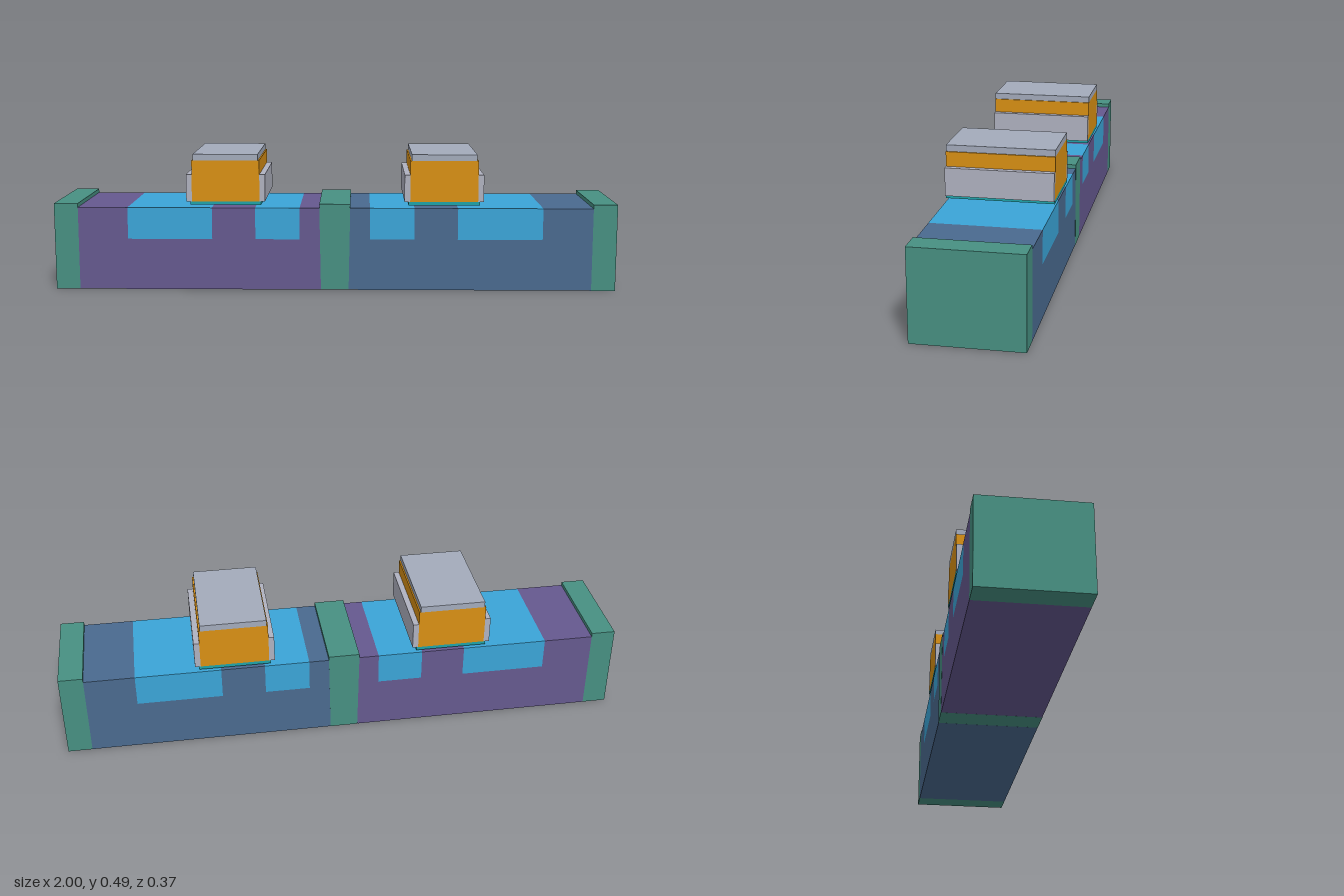
import * as THREE from 'three';

const DEPTH = 0.365;
const mat = (color) => new THREE.MeshStandardMaterial({ color });
const COLORS = {
  purple: mat(0x65598f), slate: mat(0x4a6a8f), blue: mat(0x3ba5d8), teal: mat(0x479082),
  orange: mat(0xd99014), cap: mat(0xa3abbb), spacer: mat(0xb0b2c0), oxide: mat(0x1fa3a8),
};

// Full-depth bar given by its x and y limits
function bar(parent, name, color, x0, x1, y0, y1) {
  const mesh = new THREE.Mesh(new THREE.BoxGeometry(x1 - x0, y1 - y0, DEPTH), COLORS[color]);
  mesh.position.set((x0 + x1) / 2, (y0 + y1) / 2, 0);
  mesh.name = name;
  parent.add(mesh);
  return mesh;
}

export function createModel() {
  const model = new THREE.Group();
  model.name = 'layeredBlock';

  // Each half mirrors the other, with its own body colour
  for (const [side, body, label] of [[-1, 'purple', 'right'], [1, 'slate', 'left']]) {
    const half = new THREE.Group();
    half.name = label + 'Half';
    model.add(half);
    const add = (name, color, a, b, y0, y1) =>
      bar(half, name, color, Math.min(side * a, side * b), Math.max(side * a, side * b), y0, y1);

    // Lower body and end wall
    add('lowerBody', body, 0.05, 0.915, 0, 0.183);
    add('endWall', 'teal', 0.915, 1, 0, 0.31);

    // Upper layer of alternating blocks
    const edges = [0.05, 0.125, 0.283, 0.437, 0.738, 0.915];
    for (let i = 0; i < edges.length - 1; i++) {
      const inset = i % 2 === 1;
      add(inset ? 'insetBlock' : 'bodyBlock', inset ? 'blue' : body, edges[i], edges[i + 1], 0.183, 0.296);
    }

    // Raised stack: thin film, core, cap and side strips
    const stack = new THREE.Group();
    stack.name = 'raisedStack';
    half.add(stack);
    const cx = side * 0.387;
    bar(stack, 'thinFilm', 'oxide', cx - 0.126, cx + 0.126, 0.307, 0.319);
    bar(stack, 'core', 'orange', cx - 0.12, cx + 0.12, 0.319, 0.465);
    bar(stack, 'topCap', 'cap', cx - 0.115, cx + 0.115, 0.465, 0.487);
    for (const s of [-1, 1]) {
      const inner = cx + s * 0.12, outer = cx + s * 0.14;
      bar(stack, 'sideStrip', 'spacer', Math.min(inner, outer), Math.max(inner, outer), 0.319, 0.415);
    }
  }

  // Central dividing wall, slightly narrower at the foot
  const wall = bar(model, 'centreWall', 'teal', -0.055, 0.055, 0, 0.31);
  const p = wall.geometry.attributes.position;
  for (let i = 0; i < p.count; i++) if (p.getY(i) < 0) p.setX(i, p.getX(i) * 0.9);
  // A hair deeper, so its faces stay clear of the bars it overlaps
  wall.scale.z = 1.003;
  wall.geometry.computeVertexNormals();
  return model;
}
